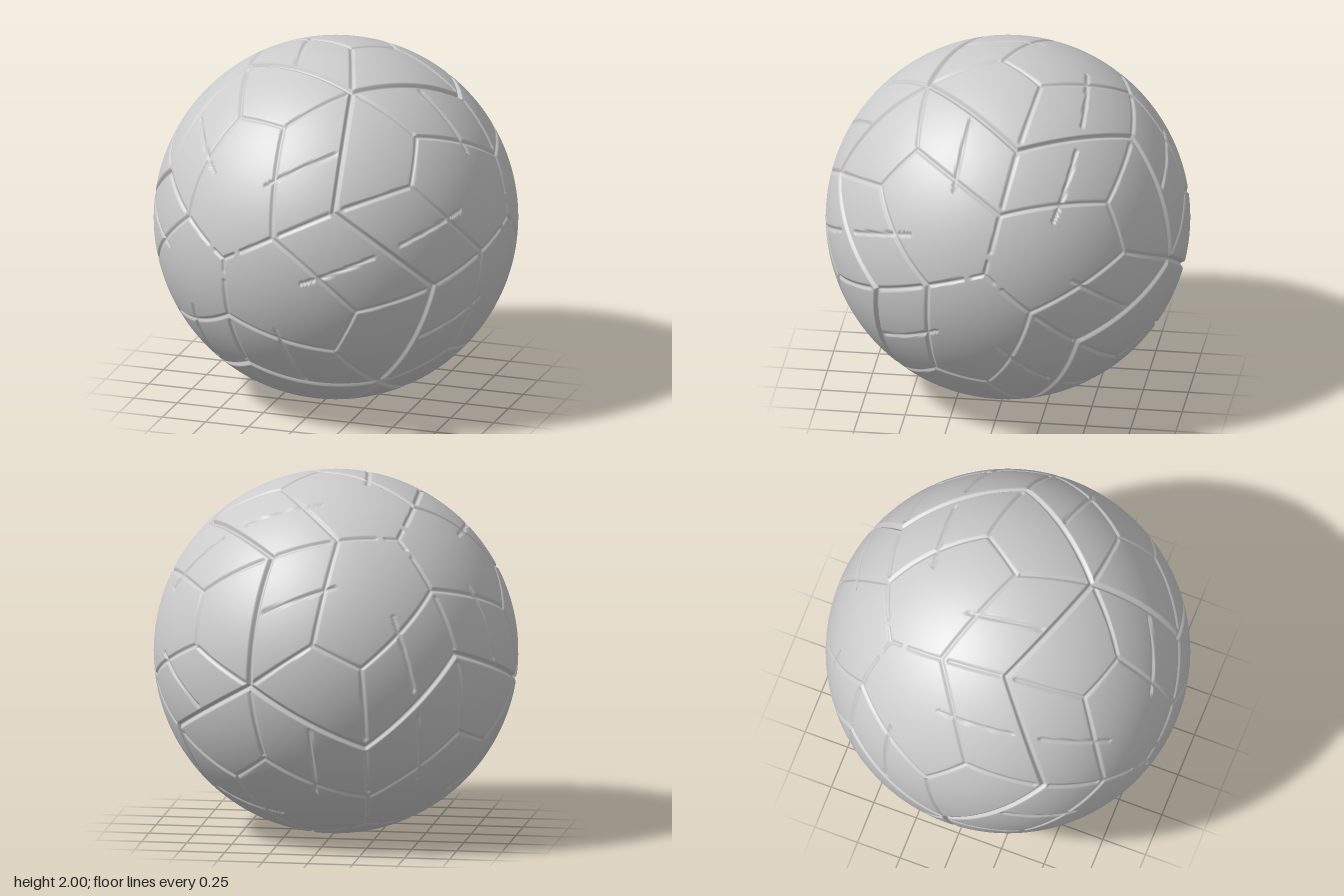
import * as THREE from 'three';
import { mergeGeometries } from 'three/addons/utils/BufferGeometryUtils.js';

const N = 34; // grid steps per patch
const vec = (x, y, z) => new THREE.Vector3(x, y, z);
const onSphere = (x, y) => vec(x, y, Math.sqrt(1 - x * x - y * y));

// Four panels sit on the axes of a tetrahedron; each has three equal sectors.
const centre = vec(-0.33, 0.03, 0.94).normalize();
const side = vec(0.99, 0.12, 0);
side.addScaledVector(centre, -side.dot(centre)).setLength(Math.sqrt(8) / 3).addScaledVector(centre, -1 / 3);
const turn = k => new THREE.Quaternion().setFromAxisAngle(centre, -k * Math.PI * 2 / 3);
const halfTurn = axis => new THREE.Quaternion().setFromAxisAngle(axis, Math.PI);
const seamMiddle = centre.clone().add(side).normalize();
const panelTurns = [new THREE.Quaternion()];
for (let k = 0; k < 3; k++) panelTurns.push(halfTurn(seamMiddle.clone().applyQuaternion(turn(k))));
const next = p => p.clone().applyQuaternion(turn(1));

// Corner points of one sector
const axes = [0, 1, 2].map(k => side.clone().applyQuaternion(turn(k)));
const B = axes.reduce((a, b) => (a.distanceTo(vec(-0.42, 0.74, -0.53)) < b.distanceTo(vec(-0.42, 0.74, -0.53)) ? a : b)).clone().negate();
const A = B.clone().applyQuaternion(turn(-1));
const P = onSphere(0.29, 0.35);
const Q = P.clone().applyQuaternion(halfTurn(seamMiddle));
const V = onSphere(-0.037, 0.193), W = onSphere(0.417, -0.214), X = onSphere(0.278, -0.471);
const V2 = next(V), P2 = next(P);
const bulge = onSphere(0.203, 0.011).sub(V.clone().add(W).normalize());

// Arc on the sphere; the long inner edge bows outward.
function arc(a, b, t) {
  const p = a.clone().lerp(b, t);
  if ((a === V && b === W) || (a === W && b === V)) p.addScaledVector(bulge, 4 * t * (1 - t));
  return p.normalize();
}

// Grooves of one sector: start, end, from, to, is it a panel seam
const grooves = [
  [A, P, 0, 1, true], [P, Q, 0, 1, true], [Q, B, 0, 1, true],
  [V, W, 0, 1], [W, X, 0, 1], [X, V2, 0, 1],
  [V, P, 0.13, 0.92], [W, Q, 0, 0.87], [X, B, 0.06, 0.92],
  [centre, V, 0, 0.22], [centre, V, 0.38, 1],
  [onSphere(-0.032, -0.353), onSphere(0.064, -0.7), 0, 1],
  [onSphere(0.134, -0.048), onSphere(0.508, 0.102), 0, 1],
];

// All grooves near the first panel, as short segments
const segments = [];
for (const panel of panelTurns) {
  for (let k = 0; k < 3; k++) {
    const q = panel.clone().multiply(turn(k));
    for (const [a, b, from, to, seam] of grooves) {
      const pts = [];
      for (let i = 0; i <= 8; i++) pts.push(arc(a, b, from + (to - from) * i / 8).applyQuaternion(q));
      for (let i = 0; i < 8; i++) {
        if (pts[i].dot(centre) > 0.2) segments.push({ line: new THREE.Line3(pts[i], pts[i + 1]), seam });
      }
    }
  }
}

const near = vec(0, 0, 0);
function height(p) {
  let dSeam = 1, dLine = 1;
  for (const { line, seam } of segments) {
    line.closestPointToPoint(p, true, near);
    const d = near.distanceToSquared(p);
    if (seam) dSeam = Math.min(dSeam, d);
    else dLine = Math.min(dLine, d);
  }
  const dip = (d2, width, depth) => depth * Math.max(0, 1 - d2 / (width * width)) ** 2;
  return -Math.max(dip(dSeam, 0.022, 0.02), dip(dLine, 0.018, 0.01));
}

// Grid rows gather at the edges and the middle, where grooves run.
const ease = t => t - 0.6 / (4 * Math.PI) * Math.sin(4 * Math.PI * t);

// Patch spanned between four arcs, with grooves pressed in
function patch(a, b, c, d) {
  const position = [], normal = [], index = [];
  const eps = 0.0015;
  for (let j = 0; j <= N; j++) {
    for (let i = 0; i <= N; i++) {
      const u = ease(i / N), v = ease(j / N);
      const p = vec(0, 0, 0)
        .addScaledVector(arc(a, b, u), 1 - v).addScaledVector(arc(d, c, u), v)
        .addScaledVector(arc(a, d, v), 1 - u).addScaledVector(arc(b, c, v), u)
        .addScaledVector(a, -(1 - u) * (1 - v)).addScaledVector(b, -u * (1 - v))
        .addScaledVector(c, -u * v).addScaledVector(d, -(1 - u) * v).normalize();
      const h = height(p);
      const n = p.clone();
      const t1 = vec(0, 1, 0).cross(p).normalize(), t2 = p.clone().cross(t1);
      for (const t of [t1, t2]) {
        const slope = (height(p.clone().addScaledVector(t, eps)) - height(p.clone().addScaledVector(t, -eps))) / (2 * eps);
        n.addScaledVector(t, -slope);
      }
      n.normalize();
      p.multiplyScalar(1 + h);
      position.push(p.x, p.y, p.z);
      normal.push(n.x, n.y, n.z);
      if (i < N && j < N) {
        const k = j * (N + 1) + i, m = k + N + 1;
        if (a !== b || j > 0) index.push(k, m, k + 1);
        index.push(k + 1, m, m + 1);
      }
    }
  }
  const g = new THREE.BufferGeometry();
  g.setAttribute('position', new THREE.Float32BufferAttribute(position, 3));
  g.setAttribute('normal', new THREE.Float32BufferAttribute(normal, 3));
  g.setIndex(index);
  return g;
}

export function createModel() {
  const ball = new THREE.Group();
  ball.name = 'ball';
  const material = new THREE.MeshStandardMaterial({ color: 0xcccccc });

  // One third of a panel: inner field and the three outer tiles
  const sector = mergeGeometries([
    patch(centre, V, W, X), patch(centre, centre, X, V2),
    patch(V, P, Q, W), patch(W, Q, B, X), patch(X, B, P2, V2),
  ]);
  const panelGeometry = mergeGeometries([0, 1, 2].map(k => sector.clone().applyQuaternion(turn(k))));

  panelTurns.forEach((q, i) => {
    const panel = new THREE.Mesh(panelGeometry, material);
    panel.name = 'panel' + (i + 1);
    panel.quaternion.copy(q);
    panel.position.y = 1;
    ball.add(panel);
  });
  return ball;
}
